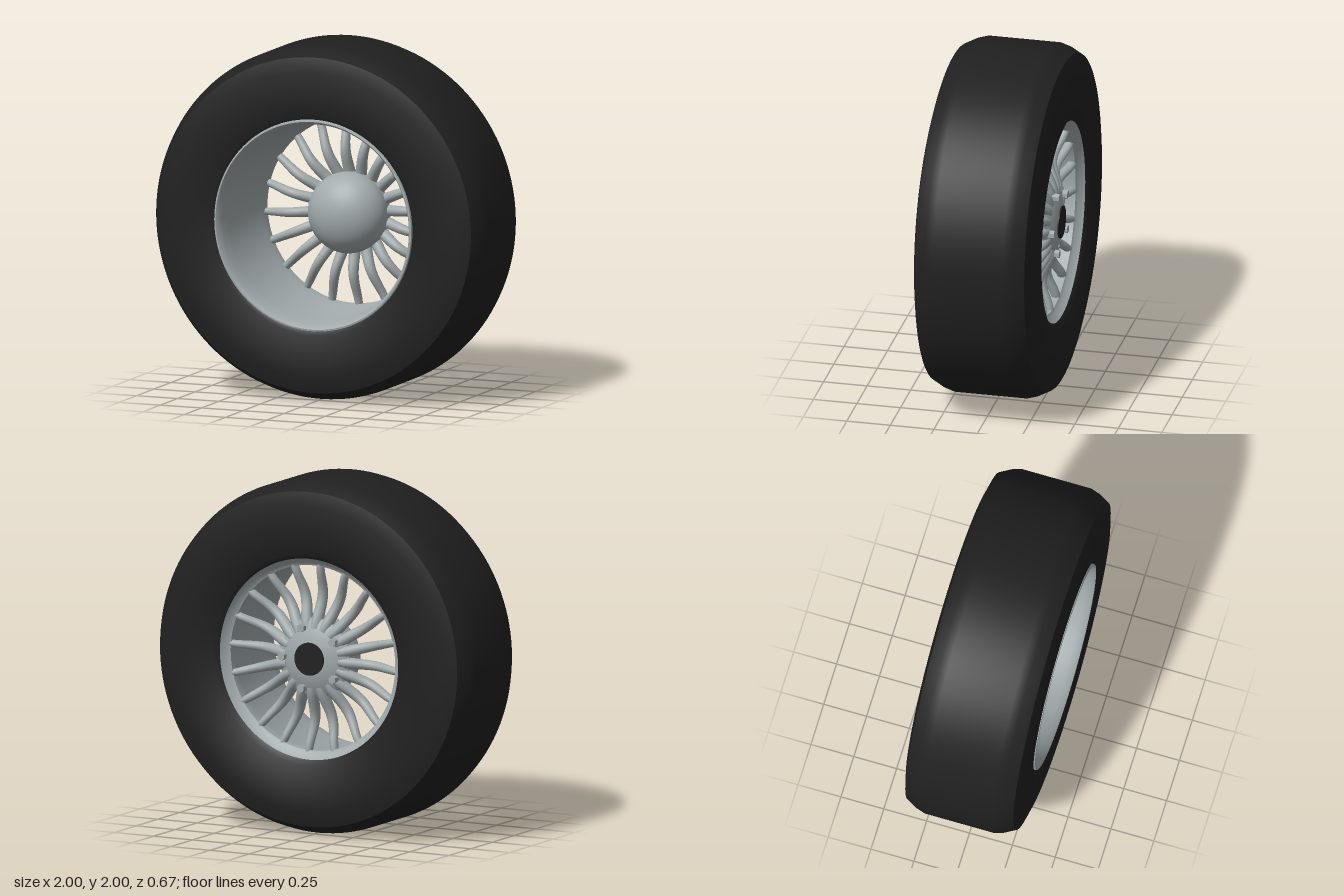
import * as THREE from 'three';
import { toCreasedNormals } from 'three/addons/utils/BufferGeometryUtils.js';

const rubber = new THREE.MeshStandardMaterial({ color: 0x202020, side: THREE.DoubleSide });
rubber.name = 'black rubber';
const silver = new THREE.MeshStandardMaterial({ color: 0xa2aaac, side: THREE.DoubleSide });
silver.name = 'silver metal';

// Solid of revolution about the axle (z); profile points are [radius, z]
function turned(name, profile, material, segments = 96, crease = 0.7) {
  const points = profile.map(([r, z]) => new THREE.Vector2(r, z));
  const lathe = new THREE.LatheGeometry(points, segments).rotateX(Math.PI / 2);
  const mesh = new THREE.Mesh(toCreasedNormals(lathe, crease), material);
  mesh.name = name;
  return mesh;
}

// Tapered oval rod that bows forward between hub and rim
function spokeGeometry() {
  const g = new THREE.CylinderGeometry(1, 1, 1, 12, 12);
  const p = g.attributes.position;
  for (let i = 0; i < p.count; i++) {
    const t = p.getY(i) + 0.5;
    const halfWidth = THREE.MathUtils.lerp(0.034, 0.021, t);
    const halfDepth = THREE.MathUtils.lerp(0.042, 0.026, t);
    const z = -0.245 + 0.05 * Math.sin(Math.PI * t) ** 2;
    p.setXYZ(i, p.getX(i) * halfWidth, 0.17 + 0.37 * t, z + p.getZ(i) * halfDepth);
  }
  g.computeVertexNormals();
  return toCreasedNormals(g, 0.8);
}

export function createModel() {
  const model = new THREE.Group();
  const wheel = new THREE.Group();
  wheel.name = 'wheel';
  wheel.position.y = 1;
  model.add(wheel);

  // Tyre: flat tread, bevelled shoulders, flat sidewalls
  wheel.add(turned('tyre', [
    [0.57, -0.31], [0.6, -0.332], [0.87, -0.336], [0.95, -0.315], [0.985, -0.25], [1, -0.2],
    [1, 0.2], [0.985, 0.25], [0.95, 0.315], [0.87, 0.336], [0.62, 0.334], [0.6, 0.325],
    [0.59, 0.27], [0.565, -0.25], [0.57, -0.31],
  ], rubber, 128, 0.8));

  // Rim: rolled front lip, deep barrel and rear flange
  wheel.add(turned('rimBarrel', [
    [0.6, 0.325], [0.597, 0.336], [0.588, 0.338], [0.578, 0.325], [0.568, 0.29],
    [0.556, 0.22], [0.538, -0.18], [0.526, -0.21], [0.526, -0.265],
    [0.545, -0.275], [0.57, -0.31],
  ], silver));

  // Hub: domed front and conical back
  const dome = [];
  for (let i = 0; i <= 12; i++) {
    const a = (i / 12) * Math.PI / 2;
    dome.push([0.23 * Math.cos(a), -0.17 + 0.18 * Math.sin(a)]);
  }
  wheel.add(turned('hub', [
    [0, -0.305], [0.1, -0.305], [0.2, -0.27], [0.225, -0.25], ...dome,
  ], silver, 64));

  // Axle cap at the back of the hub
  wheel.add(turned('axleCap', [[0, -0.312], [0.093, -0.312], [0.093, -0.3]], rubber, 48));

  // Twenty spokes
  const spoke = spokeGeometry();
  for (let i = 0; i < 20; i++) {
    const mesh = new THREE.Mesh(spoke, silver);
    mesh.name = 'spoke';
    mesh.rotation.z = THREE.MathUtils.degToRad(4 + i * 18);
    wheel.add(mesh);
  }

  // Five wheel nuts around the back of the hub
  const nut = new THREE.CylinderGeometry(0.024, 0.024, 0.06, 6).rotateX(Math.PI / 2);
  for (let i = 0; i < 5; i++) {
    const a = (i / 5) * Math.PI * 2;
    const mesh = new THREE.Mesh(toCreasedNormals(nut, 0.5), silver);
    mesh.name = 'wheelNut';
    mesh.position.set(0.18 * Math.cos(a), 0.18 * Math.sin(a), -0.28);
    wheel.add(mesh);
  }
  return model;
}
